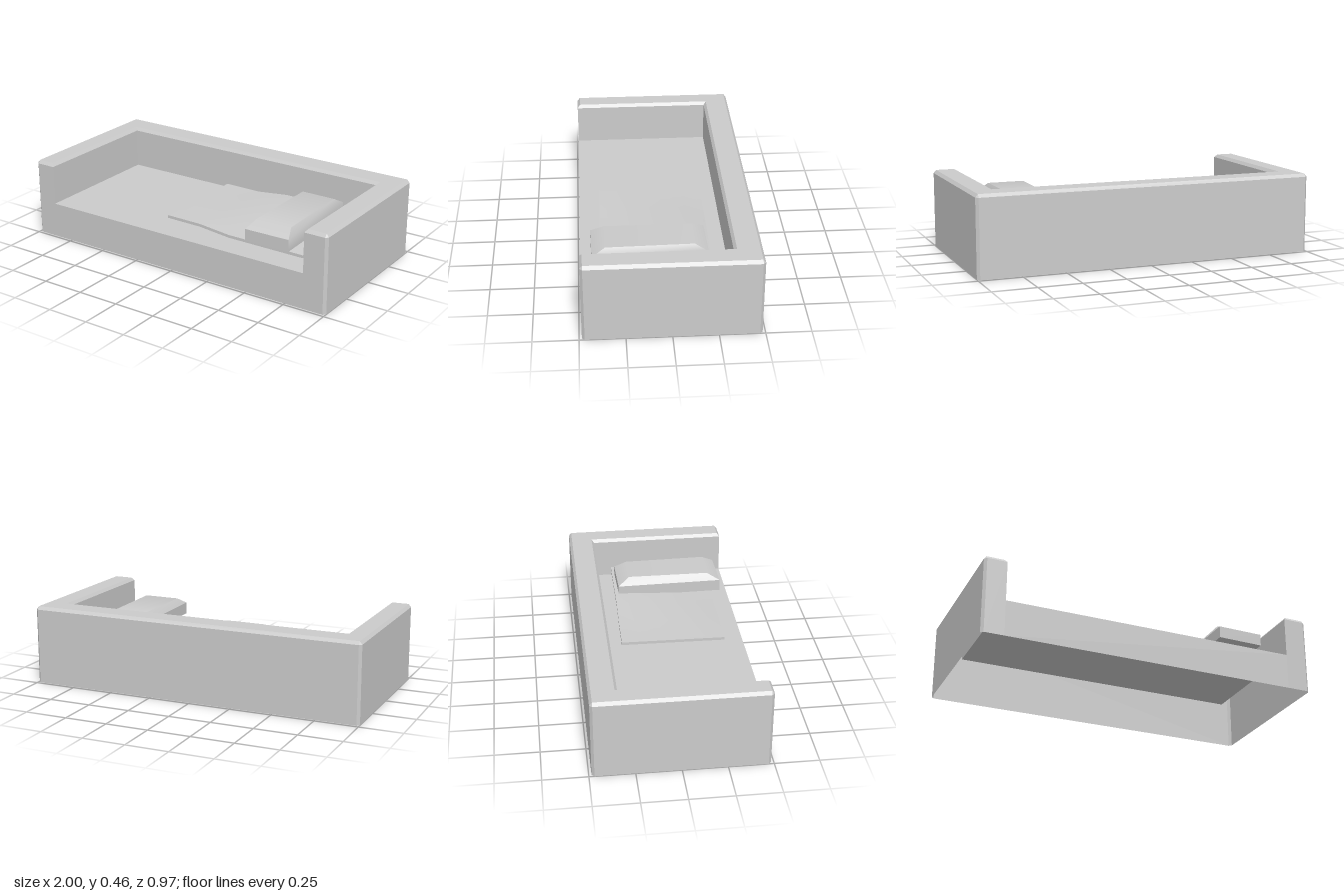
import * as THREE from 'three';
import { toCreasedNormals } from 'three/addons/utils/BufferGeometryUtils.js';

const material = new THREE.MeshStandardMaterial({ color: 0xcccccc, side: THREE.DoubleSide });

// Surface from four-cornered faces, each listed counter-clockwise from outside.
function quadGeometry(quads) {
  const positions = [];
  for (const [a, b, c, d] of quads) positions.push(...a, ...b, ...c, ...a, ...c, ...d);
  const geometry = new THREE.BufferGeometry();
  geometry.setAttribute('position', new THREE.Float32BufferAttribute(positions, 3));
  geometry.computeVertexNormals();
  return geometry;
}

// Faces joining two loops that run clockwise when seen from above.
function band(low, high, closed = true) {
  const quads = [];
  const n = low.length;
  for (let i = 0; i < (closed ? n : n - 1); i++) {
    const j = (i + 1) % n;
    quads.push([low[j], low[i], high[i], high[j]]);
  }
  return quads;
}

const atHeight = (points, y) => points.map(([x, z]) => [x, y, z]);

function part(name, geometry) {
  const mesh = new THREE.Mesh(geometry, material);
  mesh.name = name;
  return mesh;
}

function createFrame() {
  const seatY = 0.21, wallY = 0.445, topY = 0.463;
  const L = -0.87, R = 0.86, back = -0.33, Z = 0.485, c = 0.015;
  const outer = [
    [L, Z], [-1 + c, Z], [-1, Z - c], [-1, -Z + c], [-1 + c, -Z],
    [1 - c, -Z], [1, -Z + c], [1, Z - c], [1 - c, Z], [R, Z],
  ];
  const inner = [[R, Z], [R, back], [L, back], [L, Z]];

  // Bevelled rim: the same U-shaped outline drawn in by the bevel width.
  const X = 1 - c, F = Z - c;
  const rimOuter = [
    [L - c, F], [-X, F], [-X, F], [-X, -F], [-X, -F],
    [X, -F], [X, -F], [X, F], [X, F], [R + c, F],
  ];
  const rimInner = [[R + c, F], [R + c, back - c], [L - c, back - c], [L - c, F]];

  const walls = [
    ...band(atHeight(outer, 0), atHeight(outer, wallY), false),
    ...band(atHeight(inner, seatY), atHeight(inner, wallY), false),
    [[L, 0, Z], [R, 0, Z], [R, seatY, Z], [L, seatY, Z]],
  ];
  const bevel = [
    ...band(atHeight(outer, wallY), atHeight(rimOuter, topY), false),
    ...band(atHeight(inner, wallY), atHeight(rimInner, topY), false),
  ];
  const [ri, rb, lb, li] = atHeight(rimInner, topY);
  const fl = [-X, topY, F], bl = [-X, topY, -F], br = [X, topY, -F], fr = [X, topY, F];
  const top = [[fl, li, lb, bl], [bl, lb, rb, br], [br, rb, ri, fr]];

  const group = new THREE.Group();
  group.name = 'frame';
  group.add(
    part('walls', quadGeometry(walls)),
    part('rimBevel', quadGeometry(bevel)),
    part('rimTop', quadGeometry(top)),
    part('seat', quadGeometry([[[L, seatY, Z], [R, seatY, Z], [R, seatY, back], [L, seatY, back]]])),
  );
  return group;
}

// Thin sheet, flat at one end and twisted down towards the front at the other.
function createBlanket() {
  const columns = [-0.105, 0.12, 0.32, 0.8];
  const geometry = new THREE.BoxGeometry(1, 1, 1, 3, 1, 6);
  const p = geometry.attributes.position;
  for (let i = 0; i < p.count; i++) {
    const u = p.getX(i) + 0.5, t = p.getZ(i) + 0.5;
    const column = Math.round(u * 3);
    const twisted = 0.288 - 0.042 * Math.pow(t, 1.4);
    const y = column < 2 ? 0.264 : twisted;
    const z = THREE.MathUtils.lerp(-0.24, 0.365, t) + 0.01 * u;
    p.setXYZ(i, columns[column] - 0.008 * t, y + 0.017 * p.getY(i), z);
  }
  return part('blanket', toCreasedNormals(geometry, 0.7));
}

// Bolster with upright sides and sloping shoulders.
function createPillow() {
  const foot = [[0.455, 0.425], [0.442, -0.21], [0.71, -0.215], [0.728, 0.42]];
  const crown = [[0.482, 0.347], [0.485, -0.14], [0.69, -0.14], [0.7, 0.347]];
  const bottom = atHeight(foot, 0.275), shoulder = atHeight(foot, 0.345), top = atHeight(crown, 0.386);
  const geometry = quadGeometry([
    ...band(bottom, shoulder),
    ...band(shoulder, top),
    [...top].reverse(),
    bottom,
  ]);
  return part('pillow', toCreasedNormals(geometry, 0.6));
}

export function createModel() {
  const model = new THREE.Group();
  model.name = 'sofa';
  model.add(createFrame(), createBlanket(), createPillow());
  return model;
}
